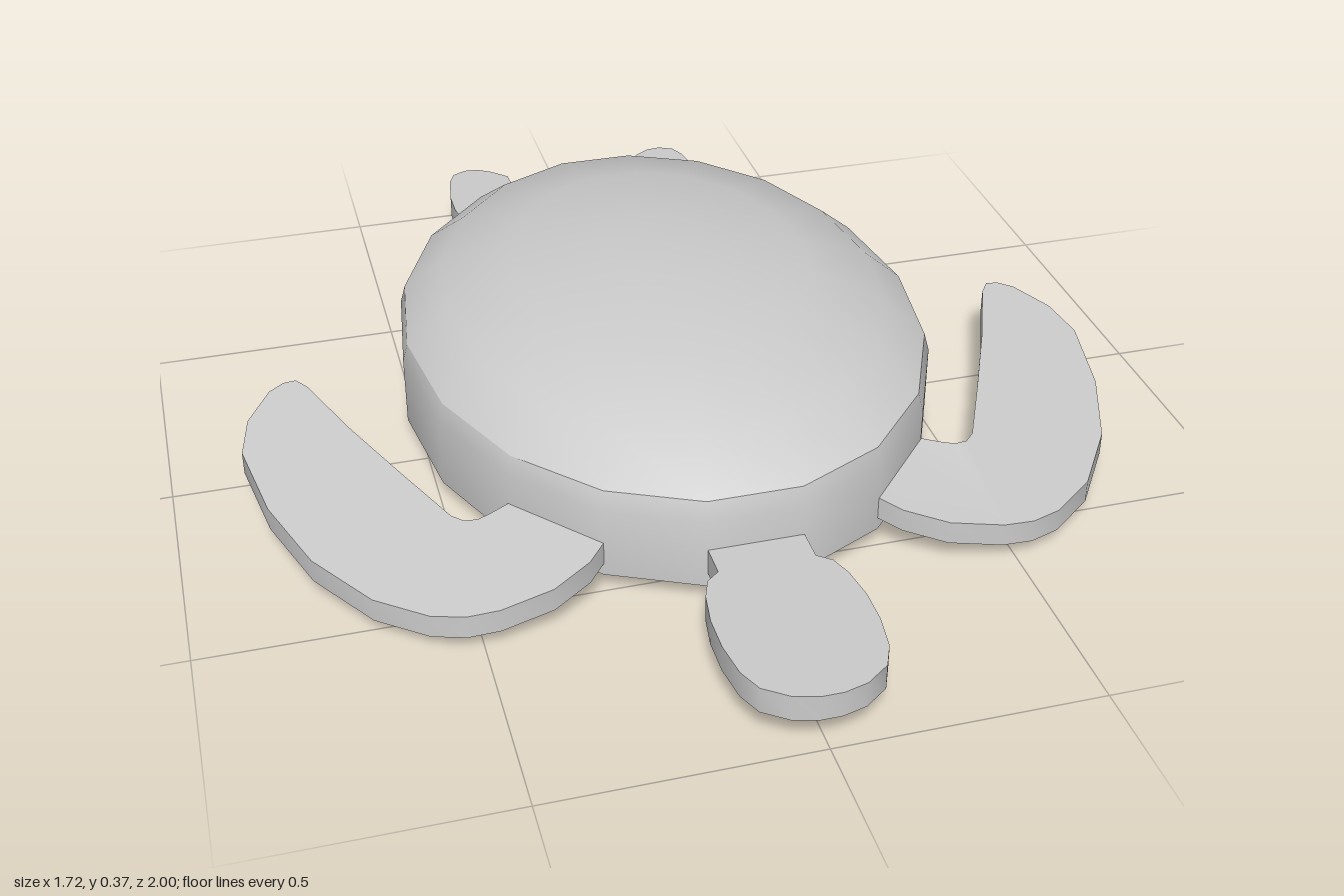
import * as THREE from 'three';
import { toCreasedNormals } from 'three/addons/utils/BufferGeometryUtils.js';

const material = new THREE.MeshStandardMaterial({ color: 0xcccccc });
const RAD = Math.PI / 180;

function addMesh(group, name, geometry, crease) {
  const mesh = new THREE.Mesh(toCreasedNormals(geometry, crease), material);
  mesh.name = name;
  group.add(mesh);
}

// Horizontal slab from an outline of [x, z] points, between bottom and top
function slab(points, bottom, top) {
  const shape = new THREE.Shape(points.map(([x, z]) => new THREE.Vector2(x, z)));
  const geometry = new THREE.ExtrudeGeometry(shape, { depth: top - bottom, bevelEnabled: false });
  return geometry.rotateX(Math.PI / 2).translate(0, top, 0);
}

// Raise or lower every vertex by a rule of x and z
function lift(geometry, rule) {
  const p = geometry.attributes.position;
  for (let i = 0; i < p.count; i++) p.setY(i, p.getY(i) + rule(p.getX(i), p.getZ(i)));
  return geometry;
}

export function createModel() {
  const model = new THREE.Group();
  model.name = 'turtle';

  // Shell: shallow belly, upright rim and domed back with a flat crown
  const rings = [11.25, 33.75, 56.25, 77.5];
  const profile = [new THREE.Vector2(0, 0)];
  for (const a of [...rings].reverse()) {
    profile.push(new THREE.Vector2(Math.cos(a * RAD), 0.038 * (1 - Math.sin(a * RAD))));
  }
  profile.push(new THREE.Vector2(1, 0.038), new THREE.Vector2(1, 0.178));
  for (const a of rings) {
    profile.push(new THREE.Vector2(Math.cos(a * RAD), 0.178 + 0.19 * Math.sin(a * RAD)));
  }
  profile.push(new THREE.Vector2(0, 0.365));
  const shell = new THREE.LatheGeometry(profile, 18, 10 * RAD);
  shell.scale(0.525, 1, 0.682).translate(0, 0, -0.09);
  addMesh(model, 'shell', shell, 33 * RAD);

  // Head and neck in one flat slab
  const headSide = [
    [0.09, 0.45], [0.09, 0.645], [0.115, 0.665], [0.13, 0.705], [0.14, 0.77],
    [0.14, 0.84], [0.13, 0.91], [0.11, 0.955], [0.065, 0.988], [0.02, 1],
  ];
  const headOutline = [...headSide, ...headSide.map(([x, z]) => [-x, z]).reverse()];
  addMesh(model, 'head', slab(headOutline, 0.067, 0.118), 35 * RAD);

  // Long swept front flippers, tilted up towards the tip
  const frontOutline = [
    [0.25, 0.4], [0.26, 0.5], [0.295, 0.54], [0.37, 0.585], [0.47, 0.605], [0.53, 0.602],
    [0.59, 0.58], [0.68, 0.51], [0.77, 0.38], [0.83, 0.22], [0.86, 0.05],
    [0.84, -0.04], [0.79, -0.115], [0.76, -0.133], [0.735, -0.133], [0.715, -0.105],
    [0.655, 0.04], [0.58, 0.2], [0.51, 0.345], [0.49, 0.365], [0.465, 0.37],
    [0.44, 0.362], [0.4, 0.345], [0.34, 0.33],
  ];
  // Short rear flippers
  const rearOutline = [
    [0.2, -0.58], [0.26, -0.68], [0.285, -0.74], [0.297, -0.81], [0.297, -0.87],
    [0.285, -0.95], [0.27, -0.985], [0.24, -1], [0.21, -0.997], [0.18, -0.978],
    [0.147, -0.945], [0.143, -0.86], [0.138, -0.81], [0.122, -0.778], [0.09, -0.762],
    [0.09, -0.65],
  ];
  for (const [side, s] of [['left', 1], ['right', -1]]) {
    const mirror = (points) => points.map(([x, z]) => [s * x, z]);
    const front = lift(slab(mirror(frontOutline), 0.035, 0.081),
      (x, z) => -0.08 * (Math.abs(x) - 0.47) - 0.11 * (z - 0.605));
    addMesh(model, side + 'FrontFlipper', front, 35 * RAD);
    addMesh(model, side + 'RearFlipper', slab(mirror(rearOutline), 0.067, 0.115), 35 * RAD);
  }
  return model;
}
